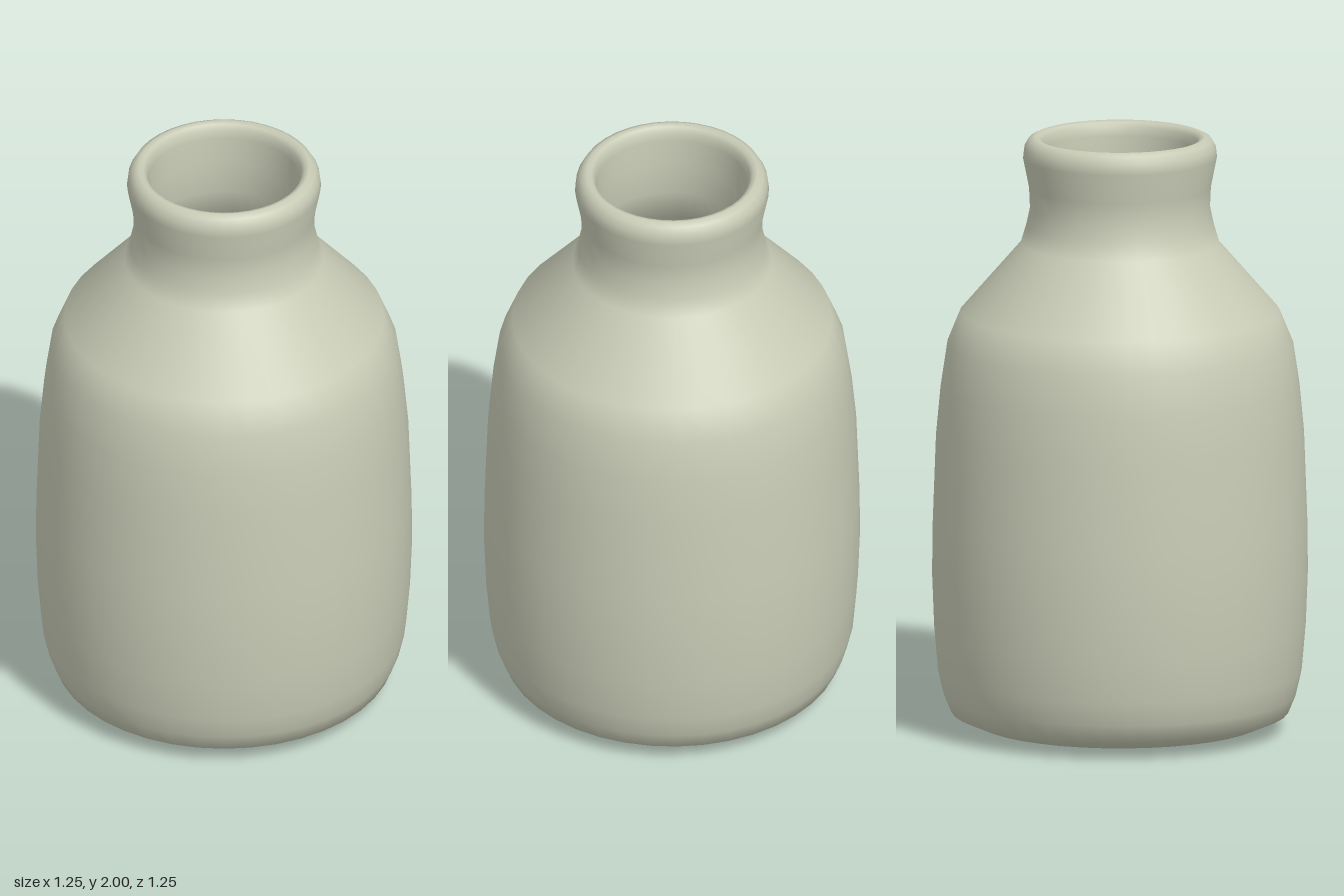
import * as THREE from 'three';

const SIDES = 40;

// Outer wall, from the middle of the base up to the rim
const outer = [
  [0, 0], [0.33, 0.004], [0.48, 0.025], [0.56, 0.06], [0.585, 0.12],
  [0.604, 0.2], [0.617, 0.35], [0.624, 0.53], [0.622, 0.7], [0.611, 1.0],
  [0.596, 1.16], [0.575, 1.3], [0.53, 1.41], [0.33, 1.64], [0.312, 1.7],
  [0.299, 1.76], [0.302, 1.83], [0.322, 1.93], [0.318, 1.965], [0.304, 1.99],
];

// Rounded lip
const lip = [[0.284, 2], [0.268, 1.995], [0.257, 1.98], [0.252, 1.95]];

// Inner wall, from the neck down to the floor
const inner = [
  [0.25, 1.85], [0.25, 1.74], [0.28, 1.62], [0.48, 1.39], [0.52, 1.28],
  [0.55, 1.0], [0.563, 0.6], [0.555, 0.3], [0.53, 0.14], [0.46, 0.08],
  [0.33, 0.062], [0, 0.06],
];

export function createModel() {
  const group = new THREE.Group();
  group.name = 'bottle';

  // One continuous turned surface: base, body, shoulder, neck, lip, inside
  const profile = [...outer, ...lip, ...inner].map(([r, y]) => new THREE.Vector2(r, y));
  const body = new THREE.Mesh(
    new THREE.LatheGeometry(profile, SIDES),
    new THREE.MeshStandardMaterial({ color: 0xc8ccb6 }),
  );
  body.name = 'bottleBody';
  group.add(body);

  return group;
}
